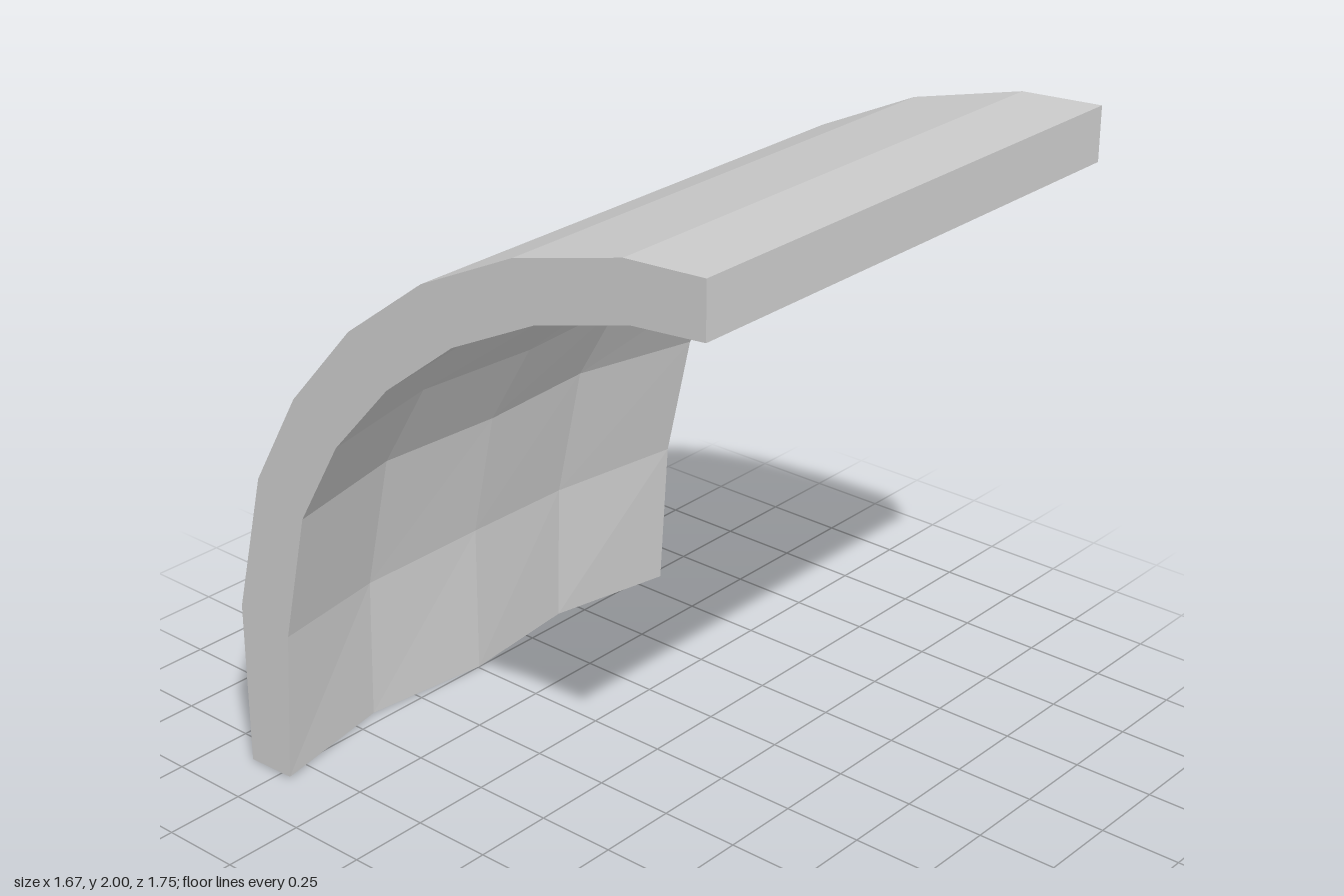
import * as THREE from 'three';

// Cross-section [z, y] from the foot up to the front lip
const OUTER = [[-0.873, 0], [-0.873, 0.52], [-0.762, 0.965], [-0.592, 1.26], [-0.357, 1.525],
  [-0.075, 1.735], [0.25, 1.89], [0.615, 1.985], [0.873, 2]];
const INNER = [[-0.71, 0.005], [-0.678, 0.487], [-0.585, 0.895], [-0.43, 1.163], [-0.22, 1.395],
  [0.03, 1.588], [0.32, 1.73], [0.64, 1.818], [0.873, 1.838]];

// Hollowing of the inner face per row: [depth at the quarters, depth at the middle, lift at the quarters]
const HOLLOW = [[0.08, 0.035, 0], [0.1, 0.065, -0.028], [0.095, 0.07, 0], [0.085, 0.065, 0.007],
  [0.065, 0.05, 0.025], [0.04, 0.03, 0.022], [0.022, 0.015, 0.02], [0.01, 0.005, 0.015], [0, 0, 0]];
const HALF_WIDTH = 0.833;
const COLS = 4;

function createCurvedPanel() {
  const rows = OUTER.length - 1;
  const x = (j) => HALF_WIDTH * (2 * j / COLS - 1);
  const outer = (i, j) => [x(j), OUTER[i][1], OUTER[i][0]];
  const inner = (i, j) => {
    const [z, y] = INNER[i];
    const [quarterDepth, middleDepth, lift] = HOLLOW[i];
    if (j % 2) return [x(j), y + lift, z - quarterDepth];
    return [x(j), y, j === COLS / 2 ? z - middleDepth : z];
  };

  const positions = [];
  const quad = (a, b, c, d) => positions.push(...a, ...b, ...c, ...a, ...c, ...d);

  for (let i = 0; i < rows; i++) {
    // Hollowed inner face and straight outer face
    for (let j = 0; j < COLS; j++) {
      quad(inner(i, j), inner(i, j + 1), inner(i + 1, j + 1), inner(i + 1, j));
      quad(outer(i, j + 1), outer(i, j), outer(i + 1, j), outer(i + 1, j + 1));
    }
    // Side edges
    quad(inner(i, COLS), outer(i, COLS), outer(i + 1, COLS), inner(i + 1, COLS));
    quad(outer(i, 0), inner(i, 0), inner(i + 1, 0), outer(i + 1, 0));
  }
  // Foot and front lip
  for (let j = 0; j < COLS; j++) {
    quad(inner(0, j), outer(0, j), outer(0, j + 1), inner(0, j + 1));
    quad(inner(rows, j), inner(rows, j + 1), outer(rows, j + 1), outer(rows, j));
  }

  const geometry = new THREE.BufferGeometry();
  geometry.setAttribute('position', new THREE.Float32BufferAttribute(positions, 3));
  geometry.computeVertexNormals();
  return geometry;
}

export function createModel() {
  const group = new THREE.Group();
  group.name = 'curvedWall';
  const material = new THREE.MeshStandardMaterial({ color: 0xcccccc, flatShading: true });
  const panel = new THREE.Mesh(createCurvedPanel(), material);
  panel.name = 'curvedPanel';
  group.add(panel);
  return group;
}
